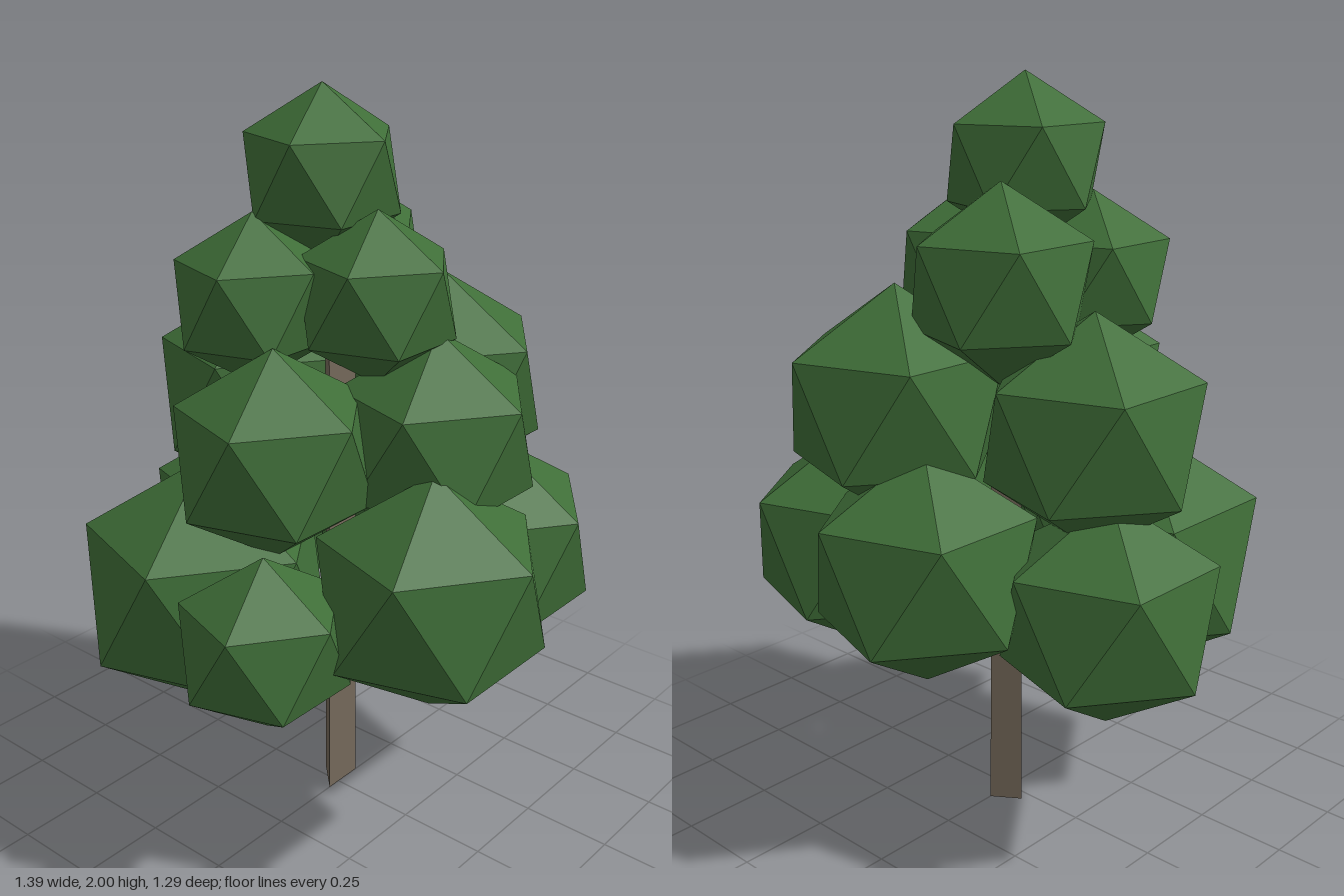
import * as THREE from 'three';
import { ConvexGeometry } from 'three/addons/geometries/ConvexGeometry.js';

// Foliage clumps per tier, bottom to top: x, y, z, radius
const TIERS = {
  lowerFoliage: [
    [-0.21, 0.71, 0.295, 0.36],
    [0.132, 0.71, 0.437, 0.238],
    [0.405, 0.817, 0.12, 0.322],
    [0.3, 0.777, -0.275, 0.313],
    [-0.07, 0.82, -0.385, 0.312],
    [-0.425, 0.71, -0.1, 0.304],
  ],
  middleFoliage: [
    [0.035, 1.14, 0.285, 0.277],
    [0.276, 1.145, -0.055, 0.283],
    [0.1, 1.193, -0.31, 0.307],
    [-0.33, 1.145, -0.055, 0.306],
  ],
  upperFoliage: [
    [0.142, 1.502, 0.02, 0.221],
    [-0.13, 1.482, 0.173, 0.222],
    [-0.147, 1.508, -0.19, 0.248],
  ],
  crownFoliage: [[-0.06, 1.78, -0.01, 0.22]],
};

export function createModel() {
  const leaf = new THREE.MeshStandardMaterial({ color: 0x3f6e38, flatShading: true });
  leaf.name = 'leafGreen';
  const bark = new THREE.MeshStandardMaterial({ color: 0x75695a, flatShading: true });
  bark.name = 'barkBrown';

  const tree = new THREE.Group();
  tree.name = 'tree';

  // Three-sided trunk, tapering slightly and ending inside the foliage
  const base = [[0, 0.04], [0, -0.08], [-0.074, -0.03]];
  const corners = [];
  for (const [x, z] of base) {
    corners.push(new THREE.Vector3(x, 0, z));
    corners.push(new THREE.Vector3(-0.025 + (x + 0.025) * 0.85, 1.6, -0.02 + (z + 0.02) * 0.85));
  }
  const trunk = new THREE.Mesh(new ConvexGeometry(corners), bark);
  trunk.name = 'trunk';
  tree.add(trunk);

  // Icosahedron turned so that one corner points straight up
  const clumpGeometry = new THREE.IcosahedronGeometry(1, 0);
  clumpGeometry.rotateZ(-Math.atan(2 / (1 + Math.sqrt(5))));

  for (const [name, clumps] of Object.entries(TIERS)) {
    const tier = new THREE.Group();
    tier.name = name;
    for (const [x, y, z, r] of clumps) {
      const clump = new THREE.Mesh(clumpGeometry, leaf);
      clump.name = 'leafClump';
      clump.position.set(x, y, z);
      clump.scale.setScalar(r);
      tier.add(clump);
    }
    tree.add(tier);
  }
  return tree;
}
